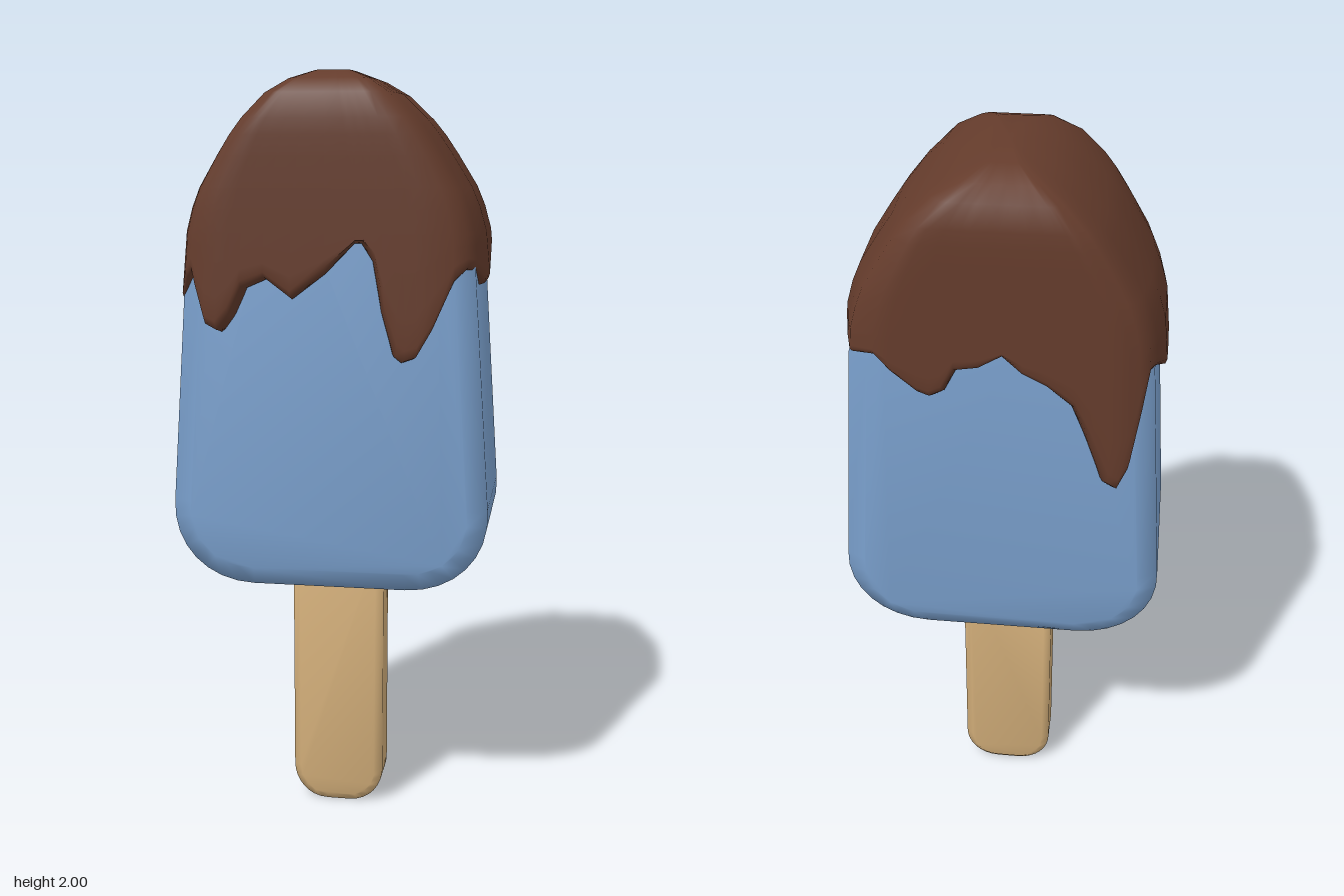
import * as THREE from 'three';
import { toCreasedNormals } from 'three/addons/utils/BufferGeometryUtils.js';

const paint = (name, color) => {
  const m = new THREE.MeshStandardMaterial({ color });
  m.name = name;
  return m;
};

// Slab with chamfered edges, centred on z; inset keeps the outline at its full size
function slab(shape, depth, chamfer, inset, crease) {
  const geo = new THREE.ExtrudeGeometry(shape, {
    depth: depth - 2 * chamfer, bevelEnabled: true, bevelSegments: 1,
    bevelThickness: chamfer, bevelSize: inset, bevelOffset: -inset, curveSegments: 8,
  });
  geo.translate(0, 0, chamfer - depth / 2);
  return toCreasedNormals(geo, crease);
}

function bodyShape() {
  const s = new THREE.Shape();
  s.moveTo(-0.2, 0.675);
  s.lineTo(0.2, 0.675);
  s.bezierCurveTo(0.33, 0.675, 0.425, 0.77, 0.413, 0.9);
  s.lineTo(0.37, 1.52);
  s.quadraticCurveTo(0.3, 1.82, 0, 1.88);
  s.quadraticCurveTo(-0.3, 1.82, -0.37, 1.52);
  s.lineTo(-0.413, 0.9);
  s.bezierCurveTo(-0.425, 0.77, -0.33, 0.675, -0.2, 0.675);
  return s;
}

function stickShape() {
  const s = new THREE.Shape();
  s.moveTo(-0.03, 0);
  s.lineTo(0.03, 0);
  s.bezierCurveTo(0.09, 0, 0.125, 0.05, 0.125, 0.1);
  s.lineTo(0.125, 0.75);
  s.lineTo(-0.125, 0.75);
  s.lineTo(-0.125, 0.1);
  s.bezierCurveTo(-0.125, 0.05, -0.09, 0, -0.03, 0);
  return s;
}

// Lower edge of the coating on each side: [distance across, height]
const frontDrips = [[-0.37, 1.48], [-0.355, 1.5], [-0.34, 1.45], [-0.31, 1.365], [-0.28, 1.35], [-0.25, 1.39],
  [-0.22, 1.46], [-0.16, 1.485], [-0.09, 1.435], [0, 1.5], [0.08, 1.575], [0.1, 1.575], [0.13, 1.53],
  [0.15, 1.4], [0.18, 1.295], [0.2, 1.28], [0.23, 1.29], [0.27, 1.36], [0.33, 1.48], [0.365, 1.51]];
const backDrips = [[-0.37, 1.53], [-0.31, 1.54], [-0.27, 1.5], [-0.2, 1.445], [-0.17, 1.434], [-0.14, 1.45],
  [-0.11, 1.51], [-0.05, 1.52], [0.01, 1.555], [0.06, 1.51], [0.12, 1.48], [0.187, 1.426], [0.23, 1.32],
  [0.27, 1.21], [0.295, 1.195], [0.32, 1.25], [0.345, 1.4], [0.37, 1.52]];
const rightDrips = [[0.19, 1.5], [0.13, 1.467], [0.08, 1.475], [0, 1.51], [-0.1, 1.555], [-0.18, 1.54]];
const leftDrips = [[-0.18, 1.51], [-0.1, 1.47], [0, 1.46], [0.07, 1.47], [0.13, 1.42], [0.2, 1.42]];

function coatingGeometry() {
  // Cross-section with softened corners
  const { lerp, smoothstep } = THREE.MathUtils;
  const depthAt = x => lerp(0.26, 0.23, Math.max(0, Math.abs(x) - 0.3) / 0.07);
  const widthAt = z => lerp(0.405, 0.375, Math.max(0, Math.abs(z) - 0.1) / 0.125);
  const rim = [
    ...frontDrips.map(([x, y]) => [x, depthAt(x), y]),
    ...rightDrips.map(([z, y]) => [widthAt(z), z, y]),
    ...backDrips.map(([x, y]) => [-x, -depthAt(x), y]),
    ...leftDrips.map(([z, y]) => [-widthAt(z), z, y]),
  ];
  // Dome rings: [height, half width, half depth]
  const dome = [[1.6, 0.388, 0.26], [1.66, 0.371, 0.26], [1.71, 0.35, 0.26], [1.79, 0.3, 0.26], [1.84, 0.266, 0.259],
    [1.88, 0.233, 0.257], [1.94, 0.17, 0.246], [1.975, 0.11, 0.212], [1.997, 0.05, 0.145]];
  const skirtWidth = y => Math.min(0.41, 0.388 + (1.6 - y) * 0.1);
  const pos = [], index = [], n = rim.length;
  const addRing = at => rim.forEach(([x, z, y]) => {
    const [h, w, d] = at(y);
    pos.push(x / 0.405 * w, h, z / 0.26 * d);
  });
  // Rounded lip, then the skirt and the dome
  addRing(y => [y + 0.015, skirtWidth(y) - 0.05, 0.215]);
  addRing(y => [y, skirtWidth(y) - 0.022, 0.238]);
  addRing(y => [y + 0.006, skirtWidth(y) - 0.006, 0.253]);
  for (const t of [0.07, 0.35, 0.7]) {
    addRing(y => {
      const h = lerp(y, 1.6, t) + 0.012 * (1 - smoothstep(t, 0, 0.3));
      return [h, skirtWidth(h), 0.26];
    });
  }
  dome.forEach(ring => addRing(() => ring));
  const rings = pos.length / 3 / n;
  for (let r = 0; r < rings - 1; r++) {
    for (let i = 0; i < n; i++) {
      const a = r * n + i, b = r * n + (i + 1) % n;
      index.push(a, b, b + n, a, b + n, a + n);
    }
  }
  // Crown
  const last = (rings - 1) * n;
  pos.push(0, 2, 0);
  for (let i = 0; i < n; i++) index.push(last + i, last + (i + 1) % n, rings * n);
  const geo = new THREE.BufferGeometry();
  geo.setAttribute('position', new THREE.Float32BufferAttribute(pos, 3));
  geo.setIndex(index);
  geo.computeVertexNormals();
  return geo;
}

export function createModel() {
  const model = new THREE.Group();
  model.name = 'icePop';
  const add = (name, geometry, material) => {
    const mesh = new THREE.Mesh(geometry, material);
    mesh.name = name;
    model.add(mesh);
  };
  add('stick', slab(stickShape(), 0.124, 0.016, 0.02, 1.1), paint('wood', 0xd0ac78));
  add('iceBody', slab(bodyShape(), 0.46, 0.03, 0.05, 1.1), paint('blueIce', 0x7aa0cd));
  add('chocolateCoating', coatingGeometry(), paint('chocolate', 0x653c2c));
  return model;
}
